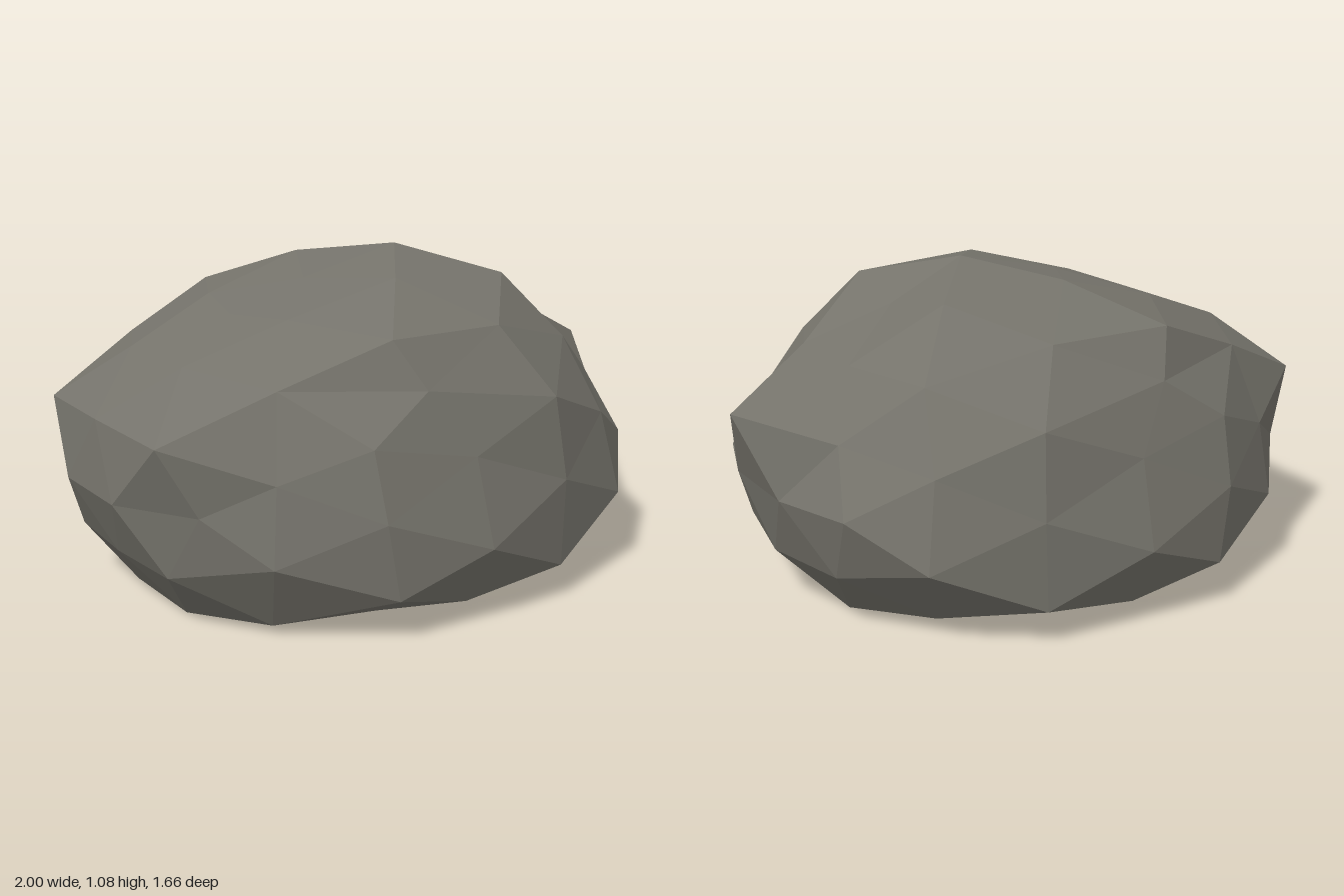
import * as THREE from 'three';
import { ConvexGeometry } from 'three/addons/geometries/ConvexGeometry.js';

// Corners of the boulder from crown to base; every corner off z = 0 is mirrored to -z.
const crown = [
  [0.17, 1.08, 0], [-0.2, 1.0, 0], [-0.48, 0.91, 0], [0.43, 0.95, 0],
  [-0.04, 1.03, 0.3], [-0.42, 0.93, 0.25], [0.4, 1.0, 0.3], [0.67, 0.81, 0.17],
  [-0.75, 0.81, 0.17], [-0.6, 0.78, 0.48], [-0.25, 0.91, 0.58], [0.17, 0.9, 0.57],
];
const flanks = [
  [1, 0.66, 0], [-0.97, 0.64, 0], [-0.95, 0.63, 0.36], [0.78, 0.61, 0.32],
  [0.55, 0.79, 0.45], [0.6, 0.55, 0.6], [0.29, 0.68, 0.72], [-0.18, 0.76, 0.67],
  [-0.4, 0.62, 0.7], [-0.66, 0.52, 0.57], [-0.05, 0.55, 0.75], [0.31, 0.41, 0.76],
  [0.92, 0.41, 0.17], [0.83, 0.41, 0.45], [-1, 0.41, 0.16], [-0.84, 0.41, 0.42],
  [-0.39, 0.4, 0.76],
];
const base = [
  [0.65, 0.27, 0.65], [-0.04, 0.27, 0.83], [-0.69, 0.27, 0.6], [0.87, 0.18, 0],
  [0.81, 0.19, 0.34], [0.3, 0.12, 0.76], [-0.35, 0.15, 0.77], [-0.91, 0.19, 0],
  [-0.89, 0.19, 0.3], [-0.05, 0.06, 0.71], [0.53, 0.04, 0.47], [-0.62, 0.03, 0.47],
  [0.69, 0, 0.17], [-0.76, 0, 0.17], [-0.25, 0, 0.5], [0.2, 0, 0.5], [0, 0, 0],
];

// Triangulate the corner directions on a sphere, then move each back to its place.
function facetedShell(corners) {
  const directions = corners.map((p) =>
    new THREE.Vector3(p.x, (p.y - 0.45) / 0.6, p.z / 0.83).normalize());
  const geometry = new ConvexGeometry(directions);
  const position = geometry.attributes.position;
  const v = new THREE.Vector3();
  for (let i = 0; i < position.count; i++) {
    v.fromBufferAttribute(position, i);
    let nearest = 0;
    directions.forEach((d, k) => {
      if (d.distanceToSquared(v) < directions[nearest].distanceToSquared(v)) nearest = k;
    });
    position.setXYZ(i, ...corners[nearest].toArray());
  }
  geometry.computeVertexNormals();
  return geometry;
}

export function createModel() {
  const group = new THREE.Group();
  group.name = 'rock';
  const stone = new THREE.MeshStandardMaterial({ color: 0x75736b, flatShading: true });
  stone.name = 'grey stone';

  const corners = [];
  for (const [x, y, z] of [...crown, ...flanks, ...base]) {
    corners.push(new THREE.Vector3(x, y, z));
    if (z > 0) corners.push(new THREE.Vector3(x, y, -z));
  }
  const boulder = new THREE.Mesh(facetedShell(corners), stone);
  boulder.name = 'boulder';
  group.add(boulder);
  return group;
}
